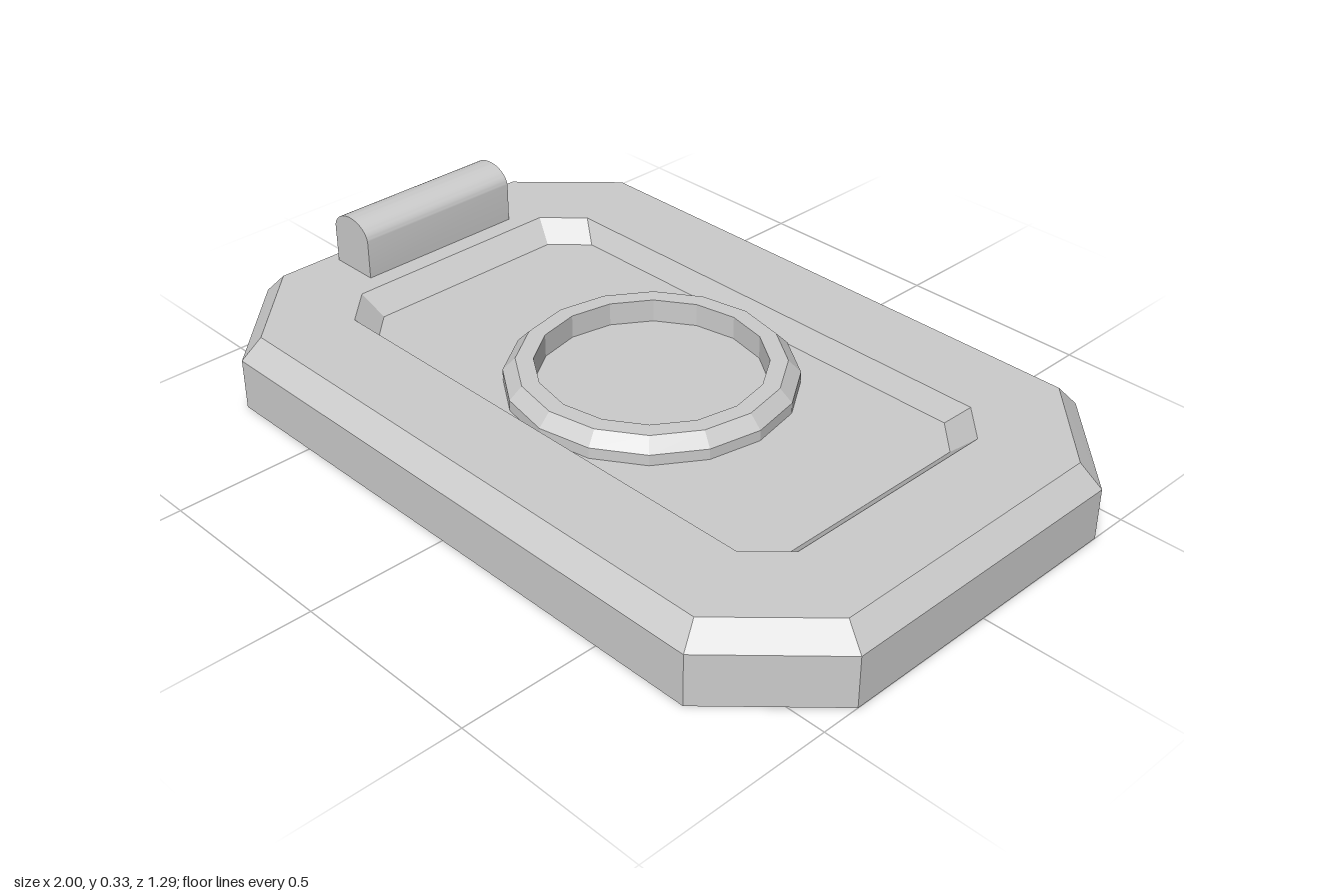
import * as THREE from 'three';
import { toCreasedNormals } from 'three/addons/utils/BufferGeometryUtils.js';

const material = new THREE.MeshStandardMaterial({ color: 0xcccccc, flatShading: true });
const smoothMaterial = new THREE.MeshStandardMaterial({ color: 0xcccccc });

// Octagon with half sizes x, z; its long sides end at cx and its short sides at cz.
function octagon(y, x, z, cx, cz) {
  return [[x, -cz], [x, cz], [cx, z], [-cx, z], [-x, cz], [-x, -cz], [-cx, -z], [cx, -z]]
    .map(([px, pz]) => new THREE.Vector3(px, y, pz));
}

// Regular polygon ring around the y axis.
function circle(y, r, sides = 16) {
  return Array.from({ length: sides }, (_, i) => {
    const a = (i / sides) * Math.PI * 2;
    return new THREE.Vector3(r * Math.cos(a), y, r * Math.sin(a));
  });
}

// Skin successive rings; a ring of zero size closes an end.
function loft(rings) {
  const points = [];
  for (let r = 0; r < rings.length - 1; r++) {
    const low = rings[r], high = rings[r + 1], n = low.length;
    for (let i = 0; i < n; i++) {
      const j = (i + 1) % n;
      if (!low[i].equals(low[j])) points.push(low[i], high[i], low[j]);
      if (!high[i].equals(high[j])) points.push(low[j], high[i], high[j]);
    }
  }
  const geometry = new THREE.BufferGeometry().setFromPoints(points);
  geometry.computeVertexNormals();
  return geometry;
}

function addPart(group, name, geometry, mat = material) {
  const mesh = new THREE.Mesh(geometry, mat);
  mesh.name = name;
  group.add(mesh);
  return mesh;
}

export function createModel() {
  const group = new THREE.Group();
  group.name = 'recessedPlate';
  const top = 0.187, floor = 0.135;

  // Bevelled plate with a sloped octagonal recess
  addPart(group, 'plate', loft([
    octagon(0, 0, 0, 0, 0),
    octagon(0, 1, 0.645, 0.755, 0.4),
    octagon(0.132, 1, 0.645, 0.755, 0.4),
    octagon(top, 0.948, 0.597, 0.735, 0.382),
    octagon(top, 0.735, 0.385, 0.645, 0.295),
    octagon(floor, 0.68, 0.356, 0.597, 0.273),
    octagon(floor, 0, 0, 0, 0),
  ]));

  // Chamfered ring standing in the recess
  addPart(group, 'ring', loft([
    circle(floor, 0.353),
    circle(0.163, 0.353),
    circle(0.195, 0.322),
    circle(0.195, 0.279),
    circle(floor, 0.279),
  ]));

  // Round-topped bar at one end of the plate
  const halfWidth = 0.067, shoulder = 0.285;
  const profile = new THREE.Shape();
  profile.moveTo(-halfWidth, top - 0.01);
  profile.lineTo(halfWidth, top - 0.01);
  profile.lineTo(halfWidth, shoulder);
  profile.absellipse(0, shoulder, halfWidth, 0.048, 0, Math.PI, false, 0);
  const barGeometry = toCreasedNormals(
    new THREE.ExtrudeGeometry(profile, { depth: 0.46, bevelEnabled: false, curveSegments: 16 }), 0.7);
  addPart(group, 'gripBar', barGeometry, smoothMaterial).position.set(-0.852, 0, -0.23);

  return group;
}
